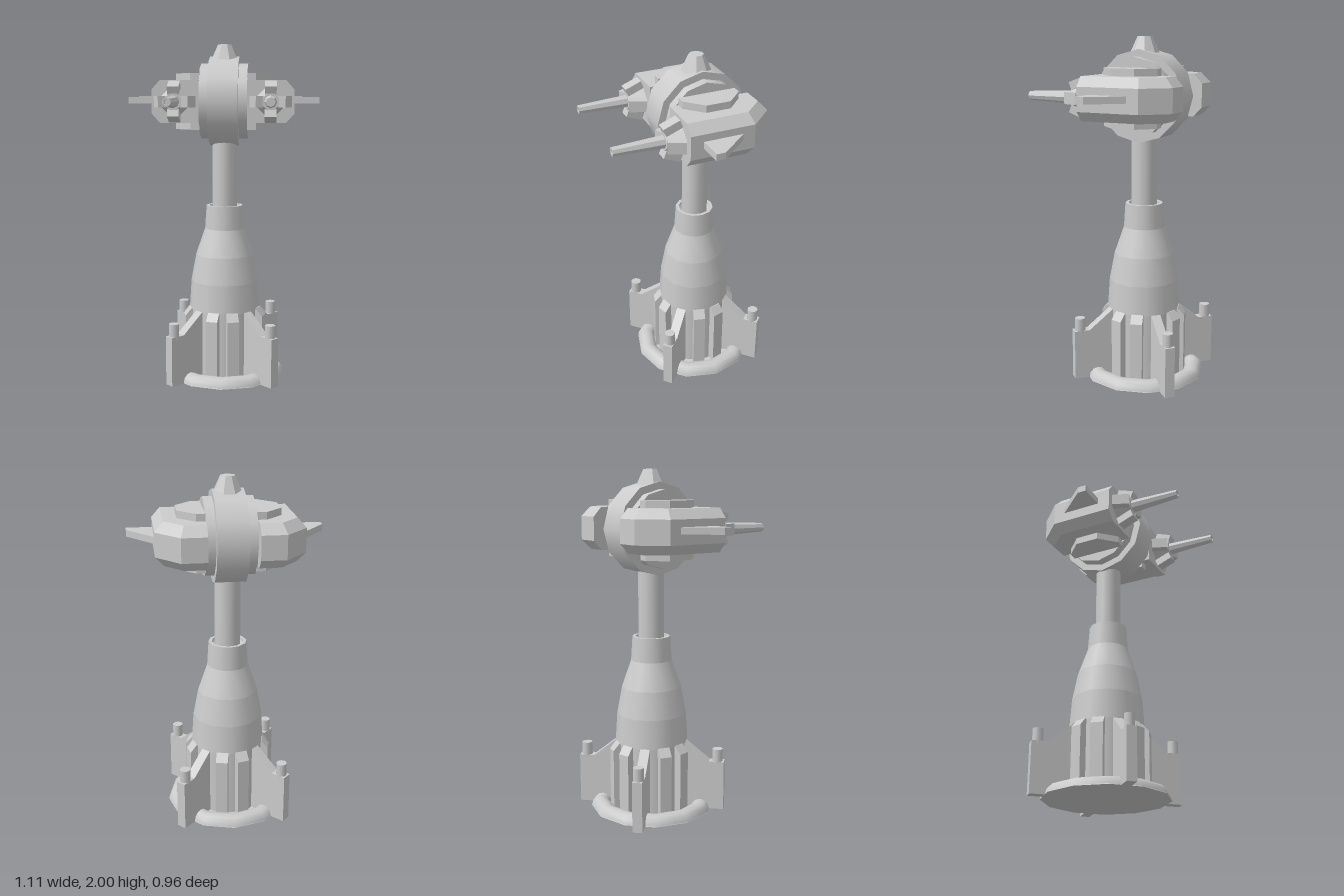
import * as THREE from 'three';
import { ConvexGeometry } from 'three/addons/geometries/ConvexGeometry.js';

const AXIS_Z = -0.115;  // vertical axis of the column
const HEAD_Y = 1.667;   // height of the head's horizontal axis

const smooth = new THREE.MeshStandardMaterial({ color: 0xcccccc, side: THREE.DoubleSide });
const flat = new THREE.MeshStandardMaterial({ color: 0xcccccc, flatShading: true });

function add(parent, name, geometry, material = flat) {
  const mesh = new THREE.Mesh(geometry, material);
  mesh.name = name;
  parent.add(mesh);
  return mesh;
}

// Extrudes an outline of [x, y] points, centred on its thickness
function plate(points, depth) {
  const shape = new THREE.Shape(points.map(([x, y]) => new THREE.Vector2(x, y)));
  return new THREE.ExtrudeGeometry(shape, { depth, bevelEnabled: false }).translate(0, 0, -depth / 2);
}

// The same, lying flat: points are [x, z]
function slab(points, depth) {
  return plate(points.map(([x, z]) => [x, -z]), depth).rotateX(-Math.PI / 2);
}

function lathe(points, segments) {
  return new THREE.LatheGeometry(points.map(([r, y]) => new THREE.Vector2(r, y)), segments);
}

function buildBase() {
  const base = new THREE.Group();
  base.name = 'base';

  add(base, 'basePlate', new THREE.CylinderGeometry(0.36, 0.365, 0.008, 12).translate(0, 0.004, 0));
  add(base, 'baseCore', new THREE.CylinderGeometry(0.213, 0.213, 0.41, 12).translate(0, 0.207, 0), smooth);

  // Half-round ring around the foot
  const ring = [];
  for (let i = 0; i <= 6; i++) {
    const a = (i / 6) * Math.PI;
    ring.push([0.31 + 0.055 * Math.cos(a), 0.004 + 0.052 * Math.sin(a)]);
  }
  add(base, 'footRing', lathe(ring, 12), smooth);

  // Four diagonal fins with pegs, and two ribs between each pair
  const finShape = [[0.1, 0], [0.44, 0], [0.44, 0.295], [0.35, 0.295], [0.2, 0.415], [0.1, 0.415]];
  const ribShape = [[0.15, 0], [0.25, 0], [0.25, 0.37], [0.212, 0.415], [0.15, 0.415]];
  for (let i = 0; i < 4; i++) {
    const quarter = new THREE.Group();
    quarter.name = 'baseQuarter';
    quarter.rotation.y = Math.PI / 4 + (i * Math.PI) / 2;
    base.add(quarter);
    add(quarter, 'fin', plate(finShape, 0.057));
    add(quarter, 'peg', new THREE.CylinderGeometry(0.031, 0.031, 0.09, 10).translate(0.4, 0.325, 0), smooth);
    for (const side of [-1, 1]) {
      add(quarter, 'rib', plate(ribShape, 0.07)).rotation.y = (side * Math.PI) / 6;
    }
  }
  return base;
}

function buildColumn() {
  const column = new THREE.Group();
  column.name = 'column';
  // Banded bottle-shaped housing: smooth around, creased between bands
  const profile = [[0.216, 0.41], [0.205, 0.58], [0.175, 0.74], [0.12, 0.9], [0.111, 1.042]];
  for (let i = 0; i < profile.length - 1; i++) {
    add(column, 'housingBand', lathe([profile[i], profile[i + 1]], 12), smooth);
  }
  add(column, 'housingRim', lathe([[0.111, 1.042], [0.092, 1.042]], 12), smooth);
  add(column, 'housingBore', lathe([[0.092, 1.042], [0.092, 1.015], [0.07, 1.015]], 12), smooth);
  add(column, 'shaft', new THREE.CylinderGeometry(0.075, 0.075, 0.6, 12).translate(0, 1.25, 0), smooth);
  return column;
}

function buildWheel() {
  const wheel = new THREE.Group();
  wheel.name = 'headWheel';
  wheel.position.y = HEAD_Y;
  const disc = (r, width) => new THREE.CylinderGeometry(r, r, width, 12).rotateZ(Math.PI / 2);
  add(wheel, 'rim', disc(0.263, 0.175), smooth);
  add(wheel, 'hub', disc(0.222, 0.28), smooth);
  add(wheel, 'topKnob', new THREE.CylinderGeometry(0.042, 0.083, 0.09, 8)
    .rotateY(Math.PI / 8).translate(0, 0.288, 0));
  return wheel;
}

function buildGun() {
  const gun = new THREE.Group();
  gun.name = 'gun';
  // Built along +z from the pod's front face
  add(gun, 'gunHub', new THREE.CylinderGeometry(0.05, 0.085, 0.1, 8)
    .rotateY(Math.PI / 8).rotateX(Math.PI / 2).translate(0, 0, 0.045));
  const barrel = lathe([[0.037, 0.08], [0.025, 0.38], [0.015, 0.38], [0.015, 0.34], [0, 0.34]], 8);
  add(gun, 'barrel', barrel.rotateX(Math.PI / 2),
    new THREE.MeshStandardMaterial({ color: 0xcccccc, flatShading: true, side: THREE.DoubleSide }));
  // Four claws leaning in towards the barrel
  for (let i = 0; i < 4; i++) {
    const arm = new THREE.Group();
    arm.name = 'clawArm';
    arm.rotation.z = (i * Math.PI) / 2;
    gun.add(arm);
    const claw = add(arm, 'claw', new THREE.BoxGeometry(0.046, 0.066, 0.1));
    claw.position.set(0.08, 0, 0.052);
    claw.rotation.y = -0.37;
  }
  return gun;
}

// One pod on the +x side
function buildPod() {
  const pod = new THREE.Group();
  pod.name = 'pod';
  pod.position.y = HEAD_Y;

  // Armoured shell with bevelled outer and rear edges
  const wide = [[0.139, -0.41], [0.28, -0.41], [0.41, -0.27], [0.41, 0.1], [0.139, 0.1]];
  const narrow = [[0.139, -0.36], [0.26, -0.36], [0.362, -0.25], [0.362, 0.1], [0.139, 0.1]];
  const corners = [];
  for (const s of [-1, 1]) {
    for (const [x, z] of wide) corners.push(new THREE.Vector3(x, s * 0.068, z - AXIS_Z));
    for (const [x, z] of narrow) corners.push(new THREE.Vector3(x, s * 0.122, z - AXIS_Z));
  }
  add(pod, 'podShell', new ConvexGeometry(corners));

  // Raised panels above and below
  const panel = [[0.139, -0.28], [0.19, -0.28], [0.285, -0.185], [0.285, -0.045], [0.19, 0.05], [0.139, 0.05]];
  for (const s of [-1, 1]) {
    add(pod, 'raisedPanel', slab(panel, 0.06)).position.set(0, s * 0.133, -AXIS_Z);
  }

  // Side wing
  const wing = [[0.39, -0.225], [0.557, -0.025], [0.557, 0.027], [0.39, 0.027]];
  add(pod, 'wing', slab(wing, 0.038)).position.set(0, 0.008, -AXIS_Z);

  const gun = buildGun();
  gun.position.set(0.275, 0, 0.1 - AXIS_Z);
  pod.add(gun);
  return pod;
}

export function createModel() {
  const model = new THREE.Group();
  model.name = 'turret';
  const body = new THREE.Group();
  body.name = 'turretBody';
  body.position.z = AXIS_Z;
  model.add(body);

  const leftPod = buildPod();
  leftPod.name = 'leftPod';
  const rightPod = buildPod();
  rightPod.name = 'rightPod';
  rightPod.scale.x = -1;
  body.add(buildBase(), buildColumn(), buildWheel(), leftPod, rightPod);
  return model;
}
